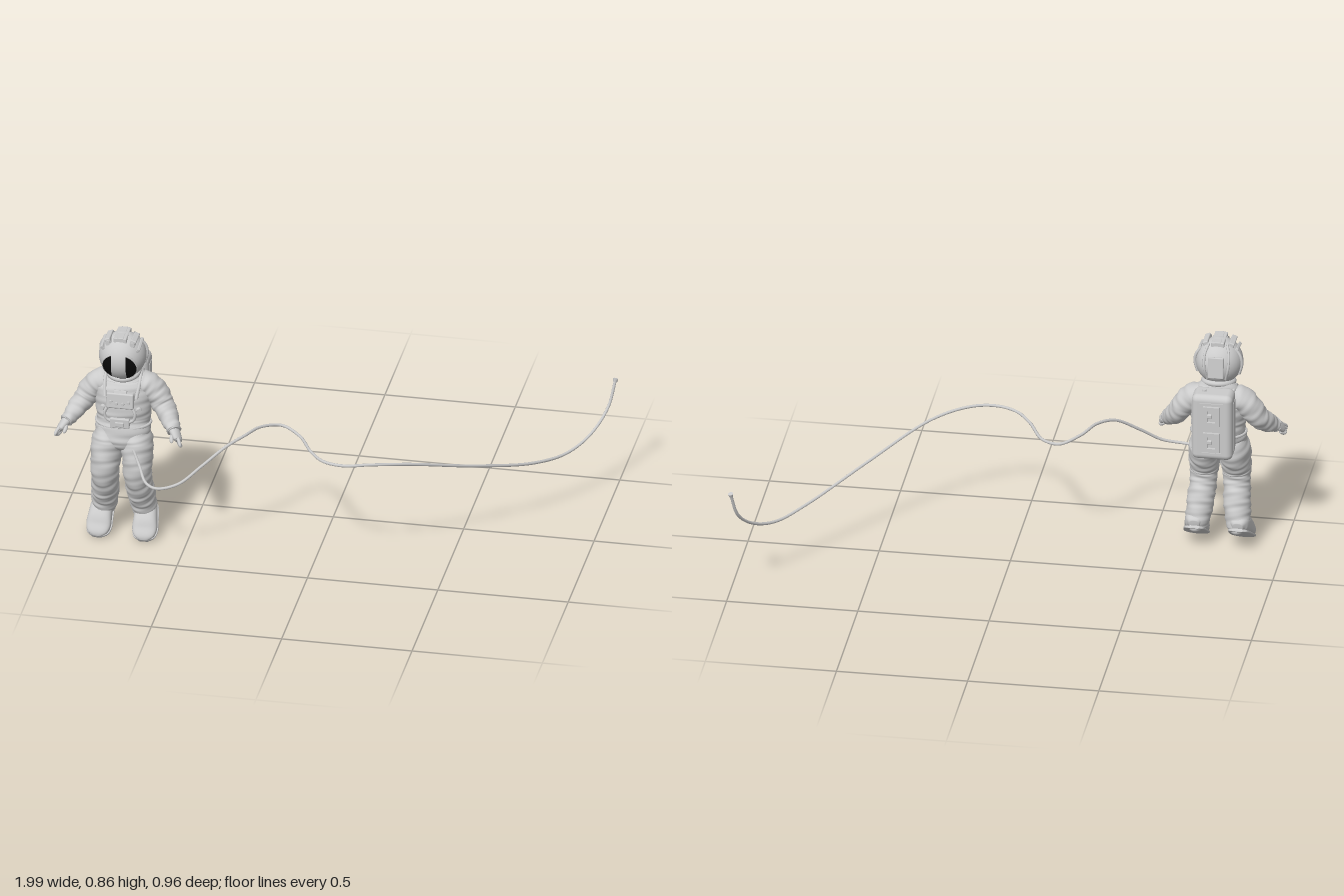
import * as THREE from 'three';
import { RoundedBoxGeometry } from 'three/addons/geometries/RoundedBoxGeometry.js';

const grey = new THREE.MeshStandardMaterial({ color: 0xcccccc });
const black = new THREE.MeshStandardMaterial({ color: 0x0a0a0a });
const V = (x, y, z) => new THREE.Vector3(x, y, z);

function add(parent, name, geometry, pos = [0, 0, 0], rot = [0, 0, 0], material = grey) {
  const m = new THREE.Mesh(geometry, material);
  m.name = name;
  m.position.set(...pos);
  m.rotation.set(...rot);
  parent.add(m);
  return m;
}
const box = (w, h, d, r = 0.004) => new RoundedBoxGeometry(w, h, d, 2, r);

// Skin through elliptical sections [x, y, z, a, b]; a lies along ref, b across it.
function loft(sections, { ref = V(1, 0, 0), rings = 60, sides = 40, fold = 0, freq = 60, power = 1 } = {}) {
  const path = new THREE.CatmullRomCurve3(sections.map(s => V(s[0], s[1], s[2])), false, 'catmullrom');
  const radii = new THREE.CatmullRomCurve3(sections.map(s => V(s[3], s[4], 0)), false, 'catmullrom');
  const pos = [], idx = [];
  const pw = v => Math.sign(v) * Math.abs(v) ** power;
  for (let i = -1; i <= rings + 1; i++) {
    const u = Math.min(1, Math.max(0, i / rings));
    const closed = i < 0 || i > rings ? 0 : 1;
    const c = path.getPoint(u), r = radii.getPoint(u), t = path.getTangent(u);
    const side = ref.clone().addScaledVector(t, -ref.dot(t)).normalize();
    const other = t.clone().cross(side);
    for (let j = 0; j < sides; j++) {
      const q = j / sides * Math.PI * 2;
      // slanted cloth folds
      const w = fold * (Math.sin(u * freq + 2.2 * Math.sin(q + u * 5)) * 0.6
        + Math.sin(u * freq * 0.43 + 3 * q) * 0.5 + Math.sin(u * freq * 1.7 - 2 * q) * 0.3);
      const p = c.clone()
        .addScaledVector(side, closed * (r.x + w) * pw(Math.cos(q)))
        .addScaledVector(other, closed * (r.y + w) * pw(Math.sin(q)));
      pos.push(p.x, p.y, p.z);
    }
  }
  for (let i = 0; i < rings + 2; i++) for (let j = 0; j < sides; j++) {
    const k = (j + 1) % sides, a = i * sides + j, b = i * sides + k;
    idx.push(a, b, a + sides, b, b + sides, a + sides);
  }
  const g = new THREE.BufferGeometry();
  g.setAttribute('position', new THREE.Float32BufferAttribute(pos, 3));
  g.setIndex(idx);
  g.computeVertexNormals();
  return g;
}

const tube = (pts, r, n = 24) =>
  new THREE.TubeGeometry(new THREE.CatmullRomCurve3(pts.map(p => V(...p))), n, r, 8);

// Rectangular bracket with an opening
function frame(w, h, rim, depth) {
  const rect = (Type, a, b) => new Type([[-a, -b], [a, -b], [a, b], [-a, b]].map(p => new THREE.Vector2(...p)));
  const s = rect(THREE.Shape, w / 2, h / 2);
  s.holes.push(rect(THREE.Path, w / 2 - rim, h / 2 - rim));
  return new THREE.ExtrudeGeometry(s, { depth, bevelEnabled: false });
}

function makeHelmet() {
  const g = new THREE.Group(), R = 0.09;
  g.name = 'helmet';
  g.position.set(0, 0.773, 0.288);
  add(g, 'helmetShell', new THREE.SphereGeometry(R, 40, 28));
  // visor cap and rim, tipped slightly downward
  const visor = new THREE.Group();
  visor.name = 'visorAssembly';
  visor.rotation.x = Math.PI / 2 + 0.37;
  g.add(visor);
  add(visor, 'visor', new THREE.SphereGeometry(R + 0.003, 40, 14, 0, Math.PI * 2, 0, 0.78), [0, 0, 0], [0, 0, 0], black);
  add(visor, 'visorRim', new THREE.TorusGeometry(R * Math.sin(0.81), 0.0045, 8, 48), [0, R * Math.cos(0.81), 0], [Math.PI / 2, 0, 0]);
  // raised bands running from brow to nape
  const band = (name, half, r, from, len) => {
    const geo = new THREE.SphereGeometry(r, 24, 8, 0, len, Math.PI / 2 - half, half * 2);
    const m = add(g, name, geo, [0, 0, 0], [0, 0, 0], new THREE.MeshStandardMaterial({ color: 0xcccccc, side: THREE.DoubleSide }));
    geo.rotateZ(-Math.PI / 2);
    geo.rotateX(from);
    return m;
  };
  band('crownBand', 0.3, R + 0.005, -0.1, 2.5);
  add(g, 'crownBox', box(0.05, 0.024, 0.1), [0, 0.081, 0.005]);
  add(g, 'crownRidge', box(0.026, 0.01, 0.1, 0.003), [0, 0.089, 0.005]);
  add(g, 'napePlate', box(0.06, 0.085, 0.012), [0, 0.008, -0.086], [0.1, 0, 0]);
  for (const s of [-1, 1]) {
    // lamps, side straps and ear plates
    add(g, 'lampHousing', box(0.022, 0.03, 0.075), [s * 0.047, 0.07, 0.012], [0, 0, -s * 0.35]);
    add(g, 'lamp', new THREE.CylinderGeometry(0.009, 0.009, 0.012, 16), [s * 0.047, 0.07, 0.052], [Math.PI / 2, 0, 0]);
    add(g, 'browLink', box(0.012, 0.018, 0.08, 0.003), [s * 0.068, 0.052, 0.014], [0.15, 0, -s * 0.6]);
    add(g, 'sideStrap', tube([[s * 0.066, 0.06, -0.02], [s * 0.085, 0.03, -0.025], [s * 0.089, 0, -0.025], [s * 0.079, -0.04, -0.025]], 0.006));
    add(g, 'napeStrap', tube([[s * 0.035, 0.082, -0.03], [s * 0.046, 0.05, -0.065], [s * 0.045, 0, -0.081], [s * 0.035, -0.045, -0.071]], 0.005));
  }
  return g;
}

function makeBackpack() {
  const g = new THREE.Group();
  g.name = 'backpack';
  g.position.set(0, 0.575, 0.148);
  add(g, 'packBody', new RoundedBoxGeometry(0.156, 0.27, 0.098, 5, 0.024));
  add(g, 'packRearFrame', frame(0.088, 0.215, 0.007, 0.006), [0, 0, -0.053]);
  for (const y of [0.055, -0.055]) {
    add(g, 'rearBracket', frame(0.062, 0.08, 0.016, 0.014), [0, y, -0.06]);
    add(g, 'rearLatch', box(0.022, 0.018, 0.012), [0.008, y, -0.053]);
  }
  for (const s of [-1, 1]) add(g, 'packSidePanel', box(0.006, 0.2, 0.046, 0.002), [s * 0.077, 0, 0]);
  add(g, 'packTopValve', new THREE.CylinderGeometry(0.008, 0.01, 0.01, 16), [0.035, 0.136, 0]);
  add(g, 'packMount', box(0.12, 0.2, 0.05), [0, 0, 0.055]);
  return g;
}

function makeArm(s) {
  const g = new THREE.Group();
  g.name = s > 0 ? 'leftArm' : 'rightArm';
  const ref = V(0, 0, 1);
  add(g, 'sleeve', loft([[0.05, 0.645, 0.255, 0.05, 0.04], [0.09, 0.635, 0.252, 0.053, 0.047], [0.125, 0.6, 0.252, 0.05, 0.046],
    [0.15, 0.56, 0.262, 0.046, 0.042], [0.178, 0.525, 0.292, 0.04, 0.036], [0.202, 0.497, 0.33, 0.031, 0.026], [0.208, 0.491, 0.339, 0.027, 0.024]]
    .map(([x, ...r]) => [s * x, ...r]), { ref, fold: 0.0022, freq: 55 }));
  add(g, 'palm', loft([[0.2, 0.5, 0.328, 0.024, 0.02], [0.214, 0.485, 0.346, 0.025, 0.017], [0.226, 0.47, 0.362, 0.023, 0.013], [0.229, 0.466, 0.367, 0.015, 0.009]]
    .map(([x, ...r]) => [s * x, ...r]), { ref, rings: 16, sides: 20 }));
  // four fingers fanned across the palm, then the thumb
  for (let i = 0; i < 4; i++) {
    const d = i * 0.009, r = 0.0065;
    add(g, 'finger', loft([[0.222, 0.483 - d, 0.362 - d * 0.5, r, r], [0.233, 0.472 - d, 0.378 - d * 0.7, r, r],
      [0.239, 0.46 - d * 0.5, 0.388 - d * 0.8, r * 0.9, r * 0.9], [0.24, 0.453 - d * 0.2, 0.391 - d * 0.8, 0.002, 0.002]]
      .map(([x, ...q]) => [s * x, ...q]), { ref, rings: 14, sides: 12 }));
  }
  add(g, 'thumb', loft([[0.205, 0.488, 0.352, 0.009, 0.009], [0.203, 0.476, 0.37, 0.008, 0.008], [0.206, 0.468, 0.382, 0.006, 0.006], [0.208, 0.464, 0.386, 0.001, 0.001]]
    .map(([x, ...q]) => [s * x, ...q]), { ref: V(1, 0, 0), rings: 12, sides: 12 }));
  return g;
}

function makeLeg(s) {
  const g = new THREE.Group();
  g.name = s > 0 ? 'leftLeg' : 'rightLeg';
  add(g, 'trouser', loft([[0.05, 0.465, 0.282, 0.046, 0.06], [0.056, 0.41, 0.289, 0.06, 0.079], [0.06, 0.35, 0.306, 0.058, 0.073],
    [0.062, 0.3, 0.316, 0.054, 0.063], [0.064, 0.25, 0.305, 0.051, 0.057], [0.068, 0.2, 0.283, 0.052, 0.058],
    [0.073, 0.15, 0.264, 0.05, 0.053], [0.079, 0.1, 0.25, 0.044, 0.051], [0.08, 0.085, 0.25, 0.03, 0.035]]
    .map(([x, ...r]) => [s * x, ...r]), { rings: 90, fold: 0.0022, freq: 75 }));
  // boot pitched toe-down
  const boot = new THREE.Group();
  boot.name = 'boot';
  boot.position.set(s * 0.083, 0.102, 0.19);
  boot.rotation.set(0.58, s * 0.04, 0);
  g.add(boot);
  const shape = [[0, 0.018, 0.03], [0.015, 0.034, 0.056], [0.05, 0.041, 0.076], [0.095, 0.045, 0.066],
    [0.13, 0.047, 0.046], [0.158, 0.038, 0.032], [0.173, 0.016, 0.016]];
  add(boot, 'bootUpper', loft(shape.map(([z, w, h]) => [0, h / 2, z, w, h / 2]), { rings: 40, power: 0.75 }));
  add(boot, 'sole', loft(shape.map(([z, w]) => [0, 0.005, z, w + 0.002, 0.006]), { rings: 40, power: 0.5 }));
  return g;
}

function makeTorso() {
  const g = new THREE.Group();
  g.name = 'torso';
  add(g, 'suitBody', loft([[0, 0.7, 0.268, 0.055, 0.048], [0, 0.665, 0.257, 0.092, 0.058], [0, 0.61, 0.261, 0.11, 0.076],
    [0, 0.55, 0.267, 0.107, 0.077], [0, 0.5, 0.27, 0.102, 0.074], [0, 0.45, 0.284, 0.105, 0.075], [0, 0.405, 0.288, 0.09, 0.067], [0, 0.375, 0.288, 0.03, 0.03]],
    { rings: 80, sides: 56, fold: 0.002, freq: 60 }));
  add(g, 'neckRing', new THREE.TorusGeometry(0.056, 0.011, 12, 40), [0, 0.695, 0.272], [Math.PI / 2 + 0.2, 0, 0]);
  // chest control unit
  add(g, 'chestUnit', box(0.105, 0.062, 0.032, 0.006), [0, 0.6, 0.334], [-0.1, 0, 0]);
  add(g, 'chestDisplay', box(0.05, 0.016, 0.014, 0.003), [0, 0.632, 0.333], [-0.4, 0, 0]);
  for (const x of [-0.034, -0.012, 0.012, 0.034])
    add(g, 'chestKnob', new THREE.CylinderGeometry(0.006, 0.007, 0.012, 12), [x, 0.588 + Math.abs(x) * 0.3, 0.351], [Math.PI / 2, 0, 0]);
  // waist ring and belt unit
  const belt = add(g, 'waistRing', new THREE.TorusGeometry(0.1, 0.006, 8, 48), [0, 0.485, 0.273], [Math.PI / 2, 0, 0]);
  belt.scale.set(1.03, 0.76, 1);
  add(g, 'beltUnit', box(0.075, 0.04, 0.022), [0, 0.508, 0.343]);
  add(g, 'beltBuckle', box(0.035, 0.02, 0.016), [0, 0.505, 0.35]);
  for (const s of [-1, 1]) {
    add(g, 'shoulderStrap', tube([[s * 0.06, 0.61, 0.333], [s * 0.066, 0.655, 0.303], [s * 0.066, 0.685, 0.262], [s * 0.062, 0.67, 0.205], [s * 0.06, 0.64, 0.185]], 0.007));
    add(g, 'chestHose', tube([[s * 0.045, 0.577, 0.342], [s * 0.058, 0.55, 0.347], [s * 0.052, 0.525, 0.347], [s * 0.034, 0.515, 0.347]], 0.006));
    add(g, 'sidePort', new THREE.CylinderGeometry(0.01, 0.012, 0.014, 16), [s * 0.07, 0.56, 0.33], [Math.PI / 2, 0, s * -0.4]);
  }
  return g;
}

export function createModel() {
  const model = new THREE.Group();
  model.name = 'tetheredAstronaut';
  const body = new THREE.Group();
  body.name = 'astronaut';
  body.position.x = -0.75;
  body.add(makeTorso(), makeHelmet(), makeBackpack());
  for (const s of [-1, 1]) body.add(makeArm(s), makeLeg(s));
  model.add(body);
  // long drifting tether
  add(model, 'tether', tube([[-0.71, 0.44, 0.35], [-0.665, 0.36, 0.395], [-0.63, 0.32, 0.45], [-0.585, 0.312, 0.473], [-0.505, 0.33, 0.455],
    [-0.425, 0.39, 0.41], [-0.345, 0.45, 0.353], [-0.285, 0.468, 0.28], [-0.238, 0.463, 0.187], [-0.168, 0.447, 0.133], [-0.094, 0.435, 0.18],
    [-0.024, 0.438, 0.305], [0.04, 0.442, 0.38], [0.12, 0.446, 0.405], [0.216, 0.447, 0.38], [0.35, 0.422, 0.3], [0.564, 0.328, 0.09],
    [0.75, 0.25, -0.123], [0.85, 0.235, -0.258], [0.92, 0.272, -0.36], [0.967, 0.345, -0.44], [0.988, 0.442, -0.474]], 0.0058, 300));
  add(model, 'tetherEnd', new THREE.CylinderGeometry(0.01, 0.008, 0.012, 16), [0.988, 0.444, -0.474], [-0.25, 0, -0.12]);
  return model;
}
